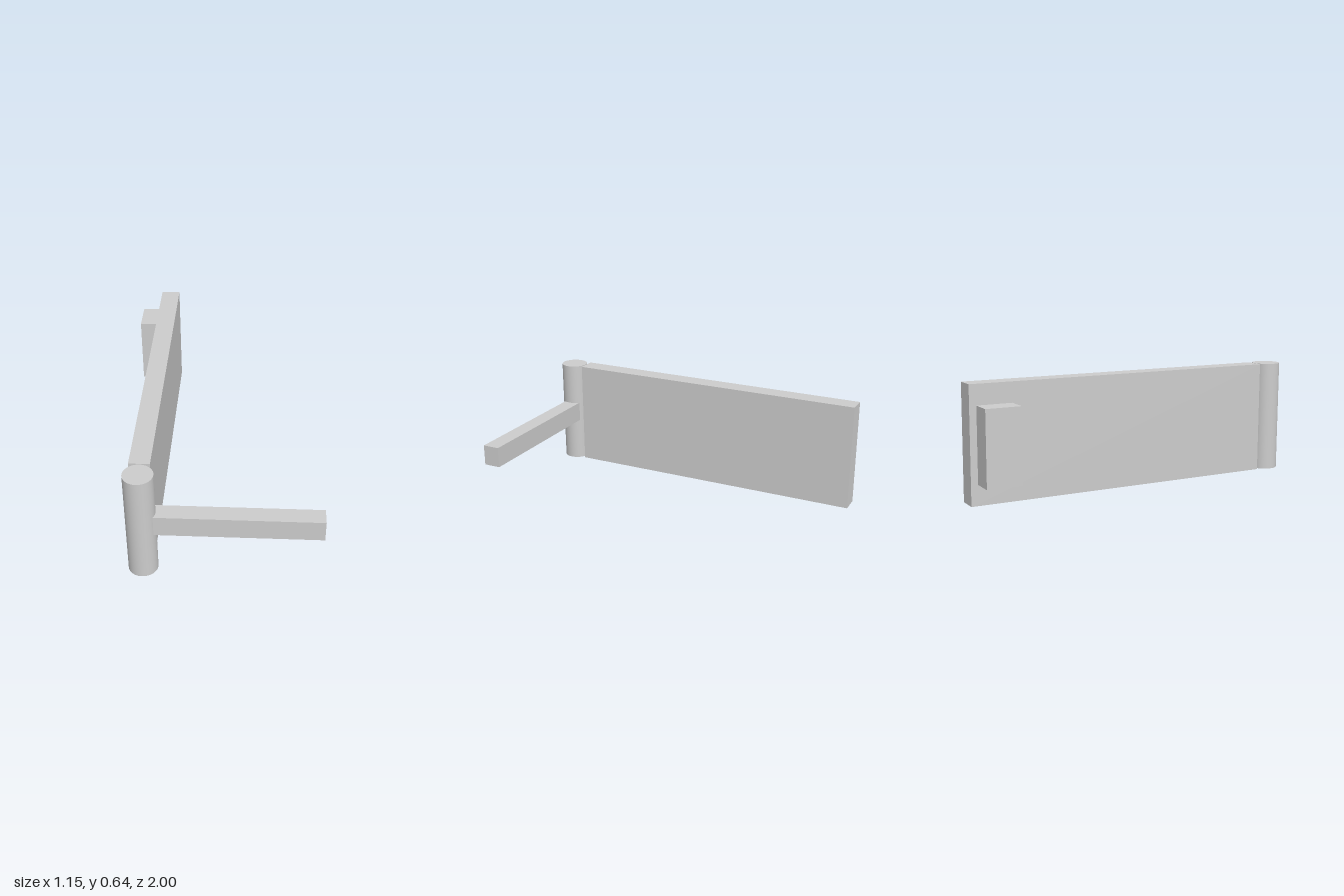
import * as THREE from 'three';

export function createModel() {
  const model = new THREE.Group();
  const grey = new THREE.MeshStandardMaterial({ color: 0xcccccc });
  grey.name = 'plain grey';

  const add = (name, geometry, x, y, z) => {
    const mesh = new THREE.Mesh(geometry, grey);
    mesh.name = name;
    mesh.position.set(x, y, z);
    model.add(mesh);
  };

  // Box given by its low and high corners
  const addBox = (name, [x0, y0, z0], [x1, y1, z1]) =>
    add(name, new THREE.BoxGeometry(x1 - x0, y1 - y0, z1 - z0),
      (x0 + x1) / 2, (y0 + y1) / 2, (z0 + z1) / 2);

  // Upright post at the front end of the panel
  add('hingePost', new THREE.CylinderGeometry(0.081, 0.081, 0.64, 64), -0.392, 0.32, 0.919);

  // Long upright panel, with a narrow gap to the post
  addBox('panel', [-0.451, 0, -1], [-0.338, 0.64, 0.832]);

  // Arm reaching sideways out of the post
  addBox('arm', [-0.34, 0.267, 0.86], [0.575, 0.388, 0.96]);

  // Block on the outer face near the back end
  addBox('latchBlock', [-0.575, 0.113, -0.961], [-0.451, 0.528, -0.763]);

  return model;
}
